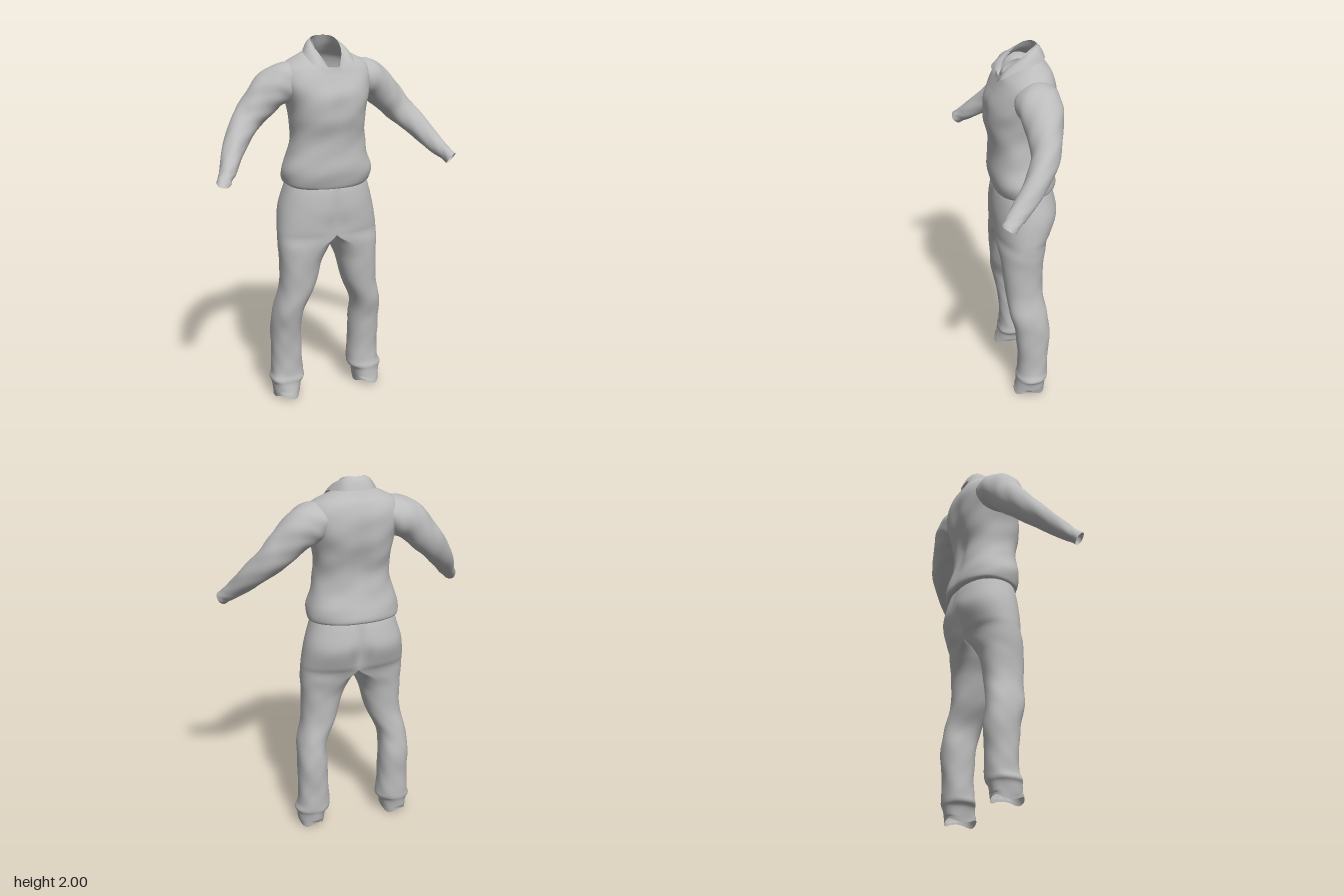
import * as THREE from 'three';

const cloth = new THREE.MeshStandardMaterial({ color: 0xbcbcbc, side: THREE.DoubleSide });
cloth.name = 'grey cloth';

// Smooth interpolation through a list of cross-section stations
function sample(rows, u) {
  const n = rows.length - 1, f = u * n, i = Math.min(n - 1, Math.floor(f)), t = f - i;
  const [a, b, c, d] = [i - 1, i, i + 1, i + 2].map(k => rows[Math.max(0, Math.min(n, k))]);
  return b.map((_, k) => 0.5 * (2 * b[k] + (c[k] - a[k]) * t
    + (2 * a[k] - 5 * b[k] + 4 * c[k] - d[k]) * t * t
    + (3 * b[k] - a[k] - 3 * c[k] + d[k]) * t * t * t));
}

// Surface from point(u, v): u runs along rows, v around each row
function grid(rows, cols, closed, point, flip = false) {
  const pos = [], idx = [], w = closed ? cols : cols + 1;
  for (let i = 0; i <= rows; i++)
    for (let j = 0; j < w; j++) pos.push(...point(i / rows, j / cols));
  for (let i = 0; i < rows; i++)
    for (let j = 0; j < cols; j++) {
      const k = (j + 1) % w, a = i * w + j, b = i * w + k, c = a + w, d = b + w;
      if (flip) idx.push(a, b, c, b, d, c);
      else idx.push(a, c, b, b, c, d);
    }
  const g = new THREE.BufferGeometry();
  g.setAttribute('position', new THREE.Float32BufferAttribute(pos, 3));
  g.setIndex(idx);
  g.computeVertexNormals();
  return g;
}

const bend = (c, e) => Math.sign(c) * Math.pow(Math.abs(c), e);
const bump = (x, c, w) => Math.exp(-(((x - c) / w) ** 2));
// Soft cloth folds
const folds = (a, y, p) => Math.sin(3 * a + 9 * y + p) * 0.4
  + Math.sin(2 * a - 31 * y + 1.7 * p + 2 * Math.sin(a + p)) * 0.35
  + Math.sin(5 * a + 47 * y + p) * 0.25;

// Shirt body: back y, front y, half width, back z, front z, squareness
const SHIRT = [
  [1.235, 1.205, 0.222, -0.175, 0.105, 0.85],
  [1.25, 1.23, 0.243, -0.205, 0.125, 0.85],
  [1.31, 1.30, 0.247, -0.2, 0.14, 0.85],
  [1.40, 1.40, 0.217, -0.178, 0.135, 0.85],
  [1.50, 1.50, 0.202, -0.17, 0.137, 0.85],
  [1.60, 1.60, 0.205, -0.19, 0.157, 0.82],
  [1.70, 1.70, 0.225, -0.207, 0.153, 0.82],
  [1.80, 1.78, 0.25, -0.203, 0.12, 0.85],
  [1.87, 1.83, 0.23, -0.18, 0.098, 0.9],
  [1.915, 1.855, 0.16, -0.15, 0.09, 1],
  [1.95, 1.84, 0.10, -0.13, 0.088, 1],
  [2.0, 1.81, 0.073, -0.108, 0.083, 1],
];
function shirtPoint(u, v) {
  const [yb, yf, hw, zb, zf, e] = sample(SHIRT, u);
  const a = v * Math.PI * 2, c = Math.cos(a), s = Math.sin(a), f = (1 + s) / 2;
  const y = yb + (yf - yb) * f * f;
  const k = 1 + 0.022 * folds(a, y, 0.6) * Math.min(1, (1 - u) * 5);
  const x = hw * bend(c, e) * k;
  let z = (zb + zf) / 2 + (zf - zb) / 2 * bend(s, e) * k;
  // spine hollow at the back, shallow valley between the chest halves
  if (s < 0) z += 0.02 * bump(x, 0, 0.05) * bump(y, 1.55, 0.2);
  else z -= 0.01 * bump(x, 0, 0.04) * bump(y, 1.63, 0.09);
  return [x, y, z];
}

// Trouser leg from waist to ankle: y, inner x, outer x, back z, front z, separation
const LEG = [
  [1.28, 0, 0.215, -0.165, 0.09, 0],
  [1.2, 0, 0.24, -0.195, 0.12, 0],
  [1.1, 0, 0.268, -0.215, 0.13, 0],
  [1.0, 0, 0.282, -0.185, 0.13, 0],
  [0.95, 0, 0.285, -0.16, 0.125, 0.05],
  [0.89, 0.015, 0.285, -0.137, 0.118, 0.7],
  [0.8, 0.052, 0.28, -0.115, 0.107, 1],
  [0.65, 0.093, 0.283, -0.11, 0.095, 1],
  [0.52, 0.152, 0.312, -0.125, 0.078, 1],
  [0.4, 0.157, 0.32, -0.14, 0.05, 1],
  [0.25, 0.152, 0.32, -0.132, 0.036, 1],
  [0.15, 0.147, 0.325, -0.13, 0.036, 1],
  [0.11, 0.145, 0.337, -0.128, 0.045, 1],
  [0.08, 0.167, 0.325, -0.12, 0.047, 1],
  [0.0, 0.18, 0.316, -0.11, 0.062, 1],
];
function legGeometry(side) {
  const g = grid(90, 48, true, (u, v) => {
    const [y, xi, xo, zb, zf, sep] = sample(LEG, u);
    const t = Math.max(0, Math.min(1, sep));
    const a = v * Math.PI * 2, c = bend(Math.cos(a), 0.88), s = bend(Math.sin(a), 0.88);
    const k = 1 + folds(a, y, side * t * 1.3) * (0.012 + 0.035 * t * (1 - Math.min(1, y)));
    const half = xo * Math.max(0, c);
    const round = (xi + xo) / 2 + (xo - xi) / 2 * c * k;
    const x = Math.max(0, half + (round - half) * t);
    let z = (zb + zf) / 2 + (zf - zb) / 2 * s * k;
    // cleft at the seat and dip at the fly
    if (s < 0) z += 0.03 * bump(x, 0, 0.04) * bump(y, 1.03, 0.09);
    else z -= 0.015 * bump(x, 0, 0.05) * bump(y, 1.0, 0.07);
    // ragged ankle opening
    return [side * x, Math.max(0, y + (u > 0.97 ? 0.014 + 0.012 * Math.sin(3 * a + side) : 0)), z];
  }, side > 0);
  // keep the centre seam smooth where the two halves meet
  const p = g.attributes.position, n = g.attributes.normal, q = new THREE.Vector3();
  for (let i = 0; i < p.count; i++)
    if (Math.abs(p.getX(i)) < 0.002 && p.getY(i) > 0.955) {
      q.set(0, n.getY(i) * 0.5, p.getZ(i) > -0.03 ? 1 : -1).normalize();
      n.setXYZ(i, q.x, q.y, q.z);
    }
  return g;
}

// Sleeve centre line and radii: x, y, z, radius across, radius in depth
const SLEEVE = [
  [0.13, 1.79, -0.06, 0.08, 0.09],
  [0.22, 1.775, -0.065, 0.105, 0.115],
  [0.30, 1.735, -0.068, 0.1, 0.108],
  [0.375, 1.66, -0.065, 0.088, 0.088],
  [0.45, 1.58, -0.045, 0.076, 0.072],
  [0.53, 1.49, 0.02, 0.062, 0.06],
  [0.60, 1.395, 0.115, 0.046, 0.05],
  [0.635, 1.355, 0.16, 0.036, 0.042],
  [0.655, 1.332, 0.185, 0.036, 0.04],
];
function sleeveGeometry(side) {
  const at = u => {
    const [x, y, z] = sample(SLEEVE, u);
    return new THREE.Vector3(side * x, y, z);
  };
  return grid(60, 36, true, (u, v) => {
    const [, , , ra, rb] = sample(SLEEVE, u), p = at(u);
    const T = at(Math.min(1, u + 0.02)).sub(at(Math.max(0, u - 0.02))).normalize();
    const B = new THREE.Vector3(0, 0, 1).addScaledVector(T, -T.z).normalize();
    const N = new THREE.Vector3().crossVectors(T, B);
    const a = v * Math.PI * 2, k = 1 + 0.06 * folds(a, u * 0.9, side);
    return p.addScaledVector(N, ra * k * Math.cos(a)).addScaledVector(B, rb * k * Math.sin(a)).toArray();
  });
}

// Turned-down collar: half of the neck rim and of the leaf edge, front to back
const RIM = [[0.004, 1.81, 0.088], [0.036, 1.865, 0.068], [0.062, 1.92, 0.03],
  [0.076, 1.962, -0.03], [0.06, 1.994, -0.088], [0, 2.0, -0.112]];
const EDGE = [[0.008, 1.808, 0.098], [0.07, 1.842, 0.1], [0.112, 1.868, 0.085],
  [0.128, 1.918, -0.02], [0.085, 1.935, -0.125], [0, 1.938, -0.152]];
const mirrored = half => [...half, ...half.slice(0, -1).reverse().map(([x, y, z]) => [-x, y, z])];
const rim = mirrored(RIM), edge = mirrored(EDGE);
function collarPoint(u, v) {
  const a = sample(rim, v), b = sample(edge, v), lift = 0.012 * Math.sin(Math.PI * u);
  return a.map((p, k) => p + (b[k] - p) * u + (k === 1 ? lift : 0));
}

export function createModel() {
  const model = new THREE.Group();
  model.name = 'shirt and trousers';
  const add = (name, geometry) => {
    const mesh = new THREE.Mesh(geometry, cloth);
    mesh.name = name;
    model.add(mesh);
  };
  add('shirtBody', grid(80, 72, true, shirtPoint));
  add('collar', grid(8, 60, false, collarPoint));
  for (const [side, label] of [[1, 'left'], [-1, 'right']]) {
    add(label + 'Sleeve', sleeveGeometry(side));
    add(label + 'TrouserLeg', legGeometry(side));
  }
  return model;
}
